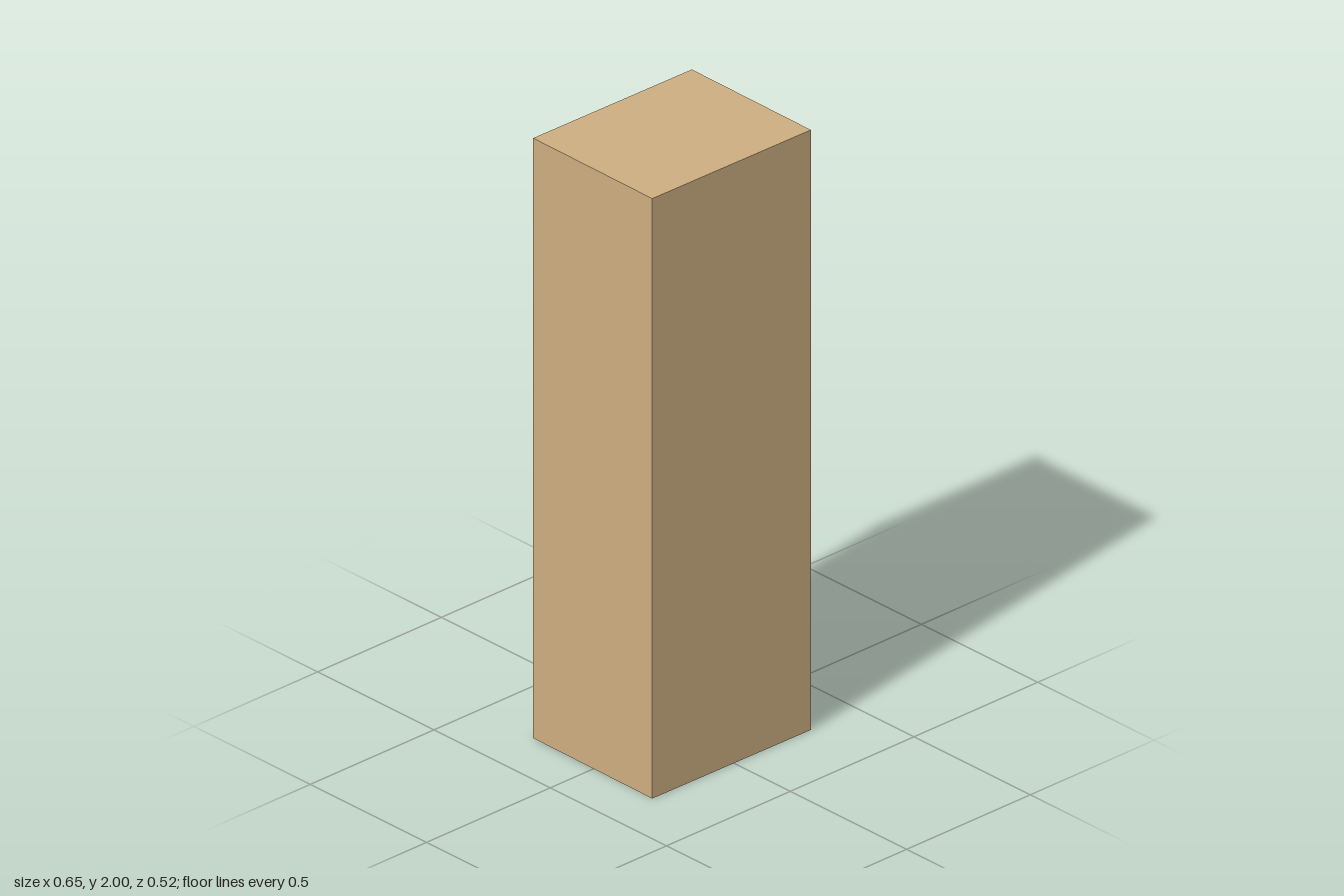
import * as THREE from 'three';

const HALF_X = 0.318, HALF_Z = 0.2585, HEIGHT = 2; // cabinet body
const FACE_X = 0.324;                              // raised door face
const INNER_Z = 0.203, RIM = 0.07;                 // extent of the raised face
const GAP_LOW = 0.711, GAP_HIGH = 0.725;           // groove between the doors

// Raised panel: a box whose +x face is moved to its own y/z limits, giving sloped sides
function raisedPanel(name, back, front, material) {
  const geometry = new THREE.BoxGeometry(1, 1, 1).toNonIndexed();
  const p = geometry.attributes.position;
  for (let i = 0; i < p.count; i++) {
    const r = p.getX(i) > 0 ? front : back;
    p.setXYZ(
      i,
      p.getX(i) > 0 ? FACE_X : HALF_X,
      p.getY(i) > 0 ? r.y1 : r.y0,
      p.getZ(i) > 0 ? r.z1 : r.z0
    );
  }
  geometry.computeVertexNormals();
  const mesh = new THREE.Mesh(geometry, material);
  mesh.name = name;
  return mesh;
}

export function createModel() {
  const wood = new THREE.MeshStandardMaterial({ color: 0xcdae80 });
  wood.name = 'tanWood';
  const metal = new THREE.MeshStandardMaterial({ color: 0xc6c2b6 });
  metal.name = 'paleMetal';

  const model = new THREE.Group();
  model.name = 'tallCabinet';

  const body = new THREE.Mesh(new THREE.BoxGeometry(2 * HALF_X, HEIGHT, 2 * HALF_Z), wood);
  body.name = 'cabinetBody';
  body.position.y = HEIGHT / 2;
  model.add(body);

  // Two doors, sloped towards the cabinet edges and straight at the groove
  const outer = { z0: -HALF_Z, z1: HALF_Z }, inner = { z0: -INNER_Z, z1: INNER_Z };
  model.add(raisedPanel('lowerDoor',
    { ...outer, y0: 0, y1: GAP_LOW }, { ...inner, y0: RIM, y1: GAP_LOW }, wood));
  model.add(raisedPanel('upperDoor',
    { ...outer, y0: GAP_HIGH, y1: HEIGHT }, { ...inner, y0: GAP_HIGH, y1: HEIGHT - RIM }, wood));

  // Sloped rim closing both ends of the groove
  const gap = { y0: GAP_LOW, y1: GAP_HIGH };
  model.add(raisedPanel('grooveEndLeft',
    { ...gap, z0: INNER_Z, z1: HALF_Z }, { ...gap, z0: INNER_Z, z1: INNER_Z }, wood));
  model.add(raisedPanel('grooveEndRight',
    { ...gap, z0: -HALF_Z, z1: -INNER_Z }, { ...gap, z0: -INNER_Z, z1: -INNER_Z }, wood));

  // Door handles
  for (const [name, y, z] of [['upperHandle', 0.924, 0.157], ['lowerHandle', 0.509, 0.147]]) {
    const handle = new THREE.Mesh(new THREE.BoxGeometry(0.013, 0.173, 0.033), metal);
    handle.name = name;
    handle.position.set(0.3265, y, z);
    model.add(handle);
  }

  // The cabinet stands very slightly turned
  model.rotation.y = -0.009;
  model.position.set(-0.007, 0, -0.001);
  return model;
}
